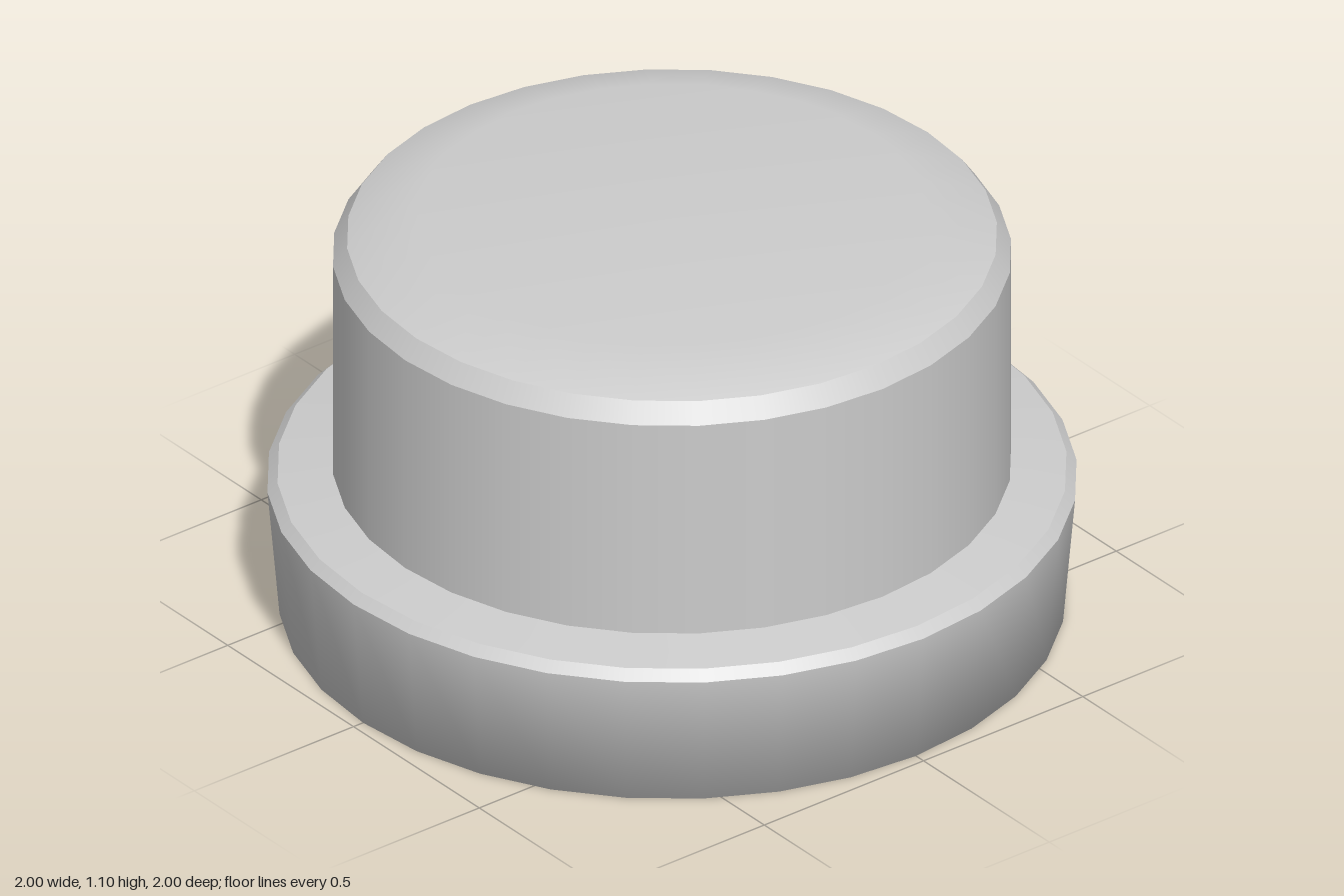
import * as THREE from 'three';

const SIDES = 32;
const THICKNESS = 0.2;

// Half section of the outer skin, from the bottom rim up to the axis
const OUTER = [
  [0.97, 0], [1, 0.35], [0.975, 0.375], [0.838, 0.395],
  [0.838, 0.99], [0.803, 1.04], [0.63, 1.1], [0, 1.1],
].map(([r, y]) => new THREE.Vector2(r, y));

// Inner skin: each point pushed inward along the mean normal of its two neighbouring segments
function insetProfile(points) {
  const normals = points.slice(1).map((p, i) => {
    const d = p.clone().sub(points[i]).normalize();
    return new THREE.Vector2(d.y, -d.x);
  });
  return points.map((p, i) => {
    const before = normals[Math.max(i - 1, 0)];
    const after = normals[Math.min(i, normals.length - 1)];
    const normal = before.clone().add(after).normalize();
    return p.clone().addScaledVector(normal, -THICKNESS);
  });
}

export function createModel() {
  const model = new THREE.Group();
  model.name = 'flangedCap';
  const material = new THREE.MeshStandardMaterial({ color: 0xcccccc });
  const inner = insetProfile(OUTER);

  // Each strip is smooth within itself; creases fall between strips
  function addStrip(name, points) {
    const mesh = new THREE.Mesh(new THREE.LatheGeometry(points, SIDES), material);
    mesh.name = name;
    model.add(mesh);
  }

  // Flange wall, rim and its inner face in one smooth skin
  addStrip('flangeSkirt', [inner[1], inner[0], OUTER[0], OUTER[1]]);

  // Remaining bands, each with its inner counterpart running the other way
  const bands = [
    ['flangeChamfer', 1, 2],
    ['flangeTop', 2, 3],
    ['bodyWall', 3, 4],
    ['bodyChamfer', 4, 5],
    ['crown', 5, 7],
  ];
  for (const [name, from, to] of bands) {
    addStrip(name, OUTER.slice(from, to + 1));
    addStrip(name + 'Inside', inner.slice(from, to + 1).reverse());
  }

  return model;
}
